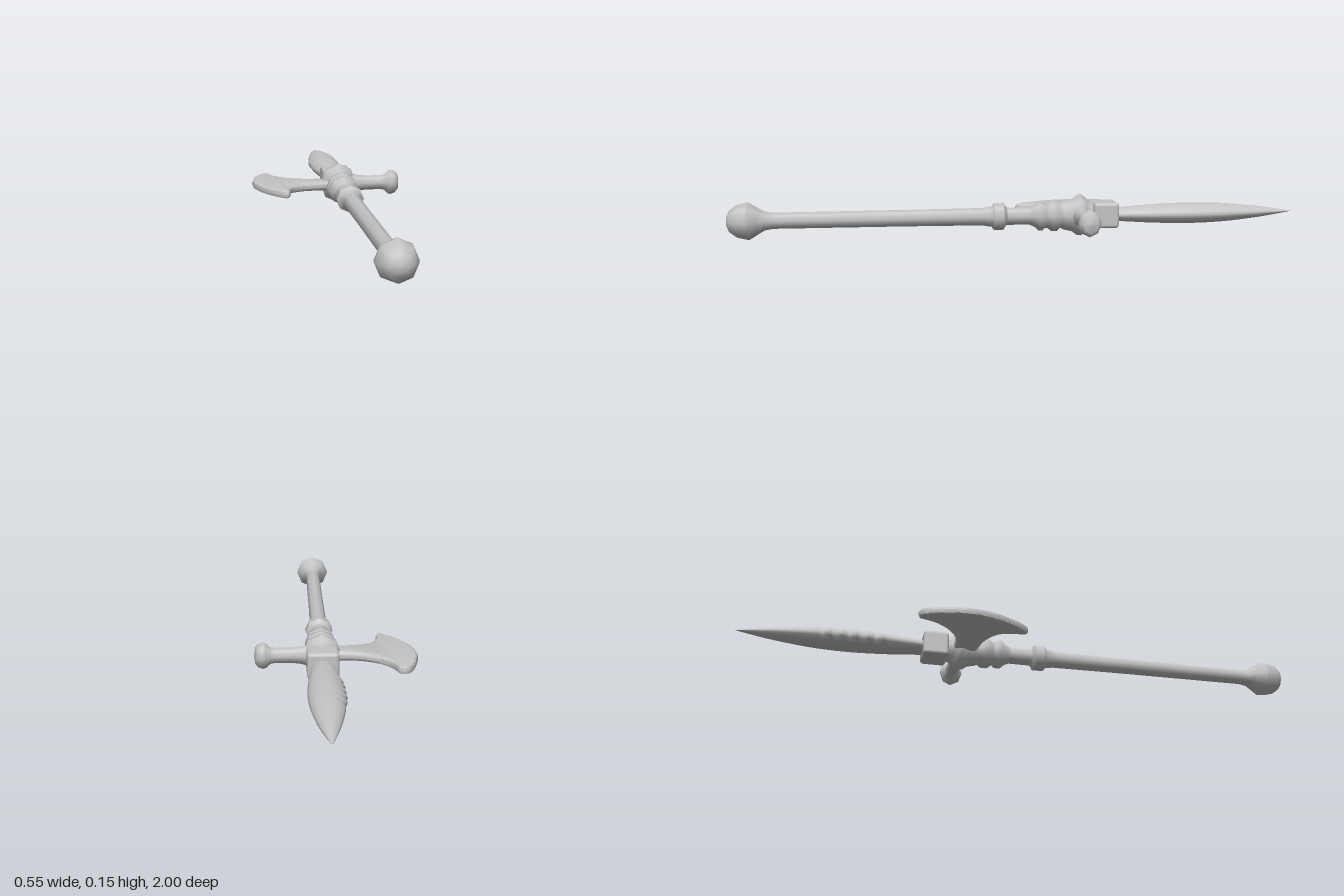
import * as THREE from 'three';
import { toCreasedNormals } from 'three/addons/utils/BufferGeometryUtils.js';
import { RoundedBoxGeometry } from 'three/addons/geometries/RoundedBoxGeometry.js';

const CX = 0.046, CY = 0.077; // weapon axis, running along z
const HEAD_Z = -0.222;        // height of the cross piece along the axis

export function createModel() {
  const group = new THREE.Group();
  const steel = new THREE.MeshStandardMaterial({ color: 0xc4c4c4 });
  steel.name = 'grey steel';

  const add = (name, geometry, x = CX, y = CY, z = 0) => {
    const mesh = new THREE.Mesh(geometry, steel);
    mesh.name = name;
    mesh.position.set(x, y, z);
    group.add(mesh);
    return mesh;
  };
  // Eight-sided turned part; profile pairs are [radius, position along axis]
  const turned = (profile) =>
    new THREE.LatheGeometry(profile.map(([r, t]) => new THREE.Vector2(r, t)), 8);
  const turnedZ = (name, profile) => add(name, turned(profile).rotateX(Math.PI / 2));

  // Shaft and pommel
  turnedZ('shaft', [[0.031, -0.34], [0.031, 0.1], [0.029, 0.4], [0.028, 0.88]]);
  turnedZ('pommel', [[0.028, 0.84], [0.033, 0.87], [0.048, 0.895], [0.065, 0.922],
    [0.064, 0.932], [0.056, 0.965], [0.036, 0.99], [0.015, 0.998], [0, 1]]);

  // Collars on the shaft
  turnedZ('lowerCollar', [[0.03, 0.035], [0.038, 0.043], [0.047, 0.047], [0.048, 0.05],
    [0.048, 0.08], [0.046, 0.084], [0.036, 0.09], [0.034, 0.11], [0.029, 0.125]]);
  turnedZ('upperCollars', [[0.042, -0.19], [0.045, -0.155], [0.056, -0.142], [0.057, -0.122],
    [0.045, -0.108], [0.044, -0.1], [0.053, -0.092], [0.053, -0.075], [0.04, -0.062], [0.03, -0.04]]);

  // Swollen hub, slightly taller than it is wide
  turnedZ('hub', [[0.045, -0.28], [0.05, -0.255], [0.063, -0.242], [0.074, -0.228],
    [0.072, -0.213], [0.058, -0.195], [0.053, -0.17], [0.044, -0.15]]).scale.x = 0.92;

  // Socket block under the spear blade
  add('socketBlock', new RoundedBoxGeometry(0.106, 0.09, 0.09, 2, 0.012), CX, 0.079, -0.312);

  // Hammer arm reaching out to the left
  const arm = add('hammerArm', turned([[0.042, 0.02], [0.037, 0.05], [0.03, 0.075], [0.027, 0.11],
    [0.027, 0.16], [0.03, 0.174], [0.044, 0.188], [0.047, 0.198], [0.042, 0.214],
    [0.03, 0.224], [0, 0.228]]).rotateZ(-Math.PI / 2), CX, CY, HEAD_Z);
  arm.scale.z = 0.87;

  add('axeBlade', axeGeometry(), 0, CY, 0);
  add('spearBlade', spearGeometry());
  return group;
}

// Crescent axe head drawn in x and z, bevelled to an edge and thicker at the neck
function axeGeometry() {
  const v = (x, z) => new THREE.Vector2(x, z);
  const s = new THREE.Shape();
  s.moveTo(0.04, -0.255);
  s.lineTo(0, -0.25);
  s.splineThru([v(-0.06, -0.254), v(-0.125, -0.285), v(-0.175, -0.34), v(-0.198, -0.398)]);
  s.splineThru([v(-0.217, -0.405), v(-0.24, -0.39), v(-0.263, -0.33), v(-0.275, -0.235),
    v(-0.255, -0.145), v(-0.213, -0.065), v(-0.178, -0.024)]);
  s.splineThru([v(-0.162, -0.02), v(-0.151, -0.034), v(-0.147, -0.075), v(-0.13, -0.118),
    v(-0.08, -0.15), v(0, -0.167)]);
  s.lineTo(0.04, -0.165);
  const g = new THREE.ExtrudeGeometry(s, {
    depth: 0.003, bevelThickness: 0.012, bevelSize: 0.012, bevelOffset: -0.012,
    bevelSegments: 2, curveSegments: 8,
  });
  g.translate(0, 0, -0.0015).rotateX(Math.PI / 2);
  const p = g.attributes.position;
  for (let i = 0; i < p.count; i++) {
    const neck = THREE.MathUtils.clamp((p.getX(i) + 0.15) / 0.15, 0, 1);
    p.setY(i, p.getY(i) * (1 + 0.25 * neck));
  }
  return toCreasedNormals(g, 0.9);
}

// Leaf-shaped blade from lens cross-sections, with notches on the right edge
function spearGeometry() {
  const widths = new THREE.SplineCurve([[0.34, 0.036], [0.4, 0.043], [0.5, 0.053], [0.62, 0.058],
    [0.74, 0.052], [0.86, 0.034], [0.95, 0.014], [1, 0.0005]].map(([t, r]) => new THREE.Vector2(t, r)));
  const rows = 64, sides = 16, pos = [], idx = [];
  for (let i = 0; i <= rows; i++) {
    const { x: t, y: half } = widths.getPoint(i / rows);
    const thick = Math.min(half * 0.64, 0.037);
    const toothed = t > 0.49 && t < 0.72;
    const notch = toothed ? 0.006 * Math.sin((t - 0.49) * 2 * Math.PI / 0.046) : 0;
    for (let j = 0; j < sides; j++) {
      const a = j / sides * 2 * Math.PI, c = Math.cos(a), sn = Math.sin(a);
      const edge = Math.max(0, -c) ** 4 * notch;
      pos.push(half * c - edge, thick * sn * Math.abs(sn) ** 0.2, -t);
      if (i < rows) {
        const b = i * sides + j, n = i * sides + (j + 1) % sides;
        idx.push(b, b + sides, n, n, b + sides, n + sides);
      }
    }
  }
  const g = new THREE.BufferGeometry();
  g.setAttribute('position', new THREE.Float32BufferAttribute(pos, 3));
  g.setIndex(idx);
  g.computeVertexNormals();
  return g;
}
